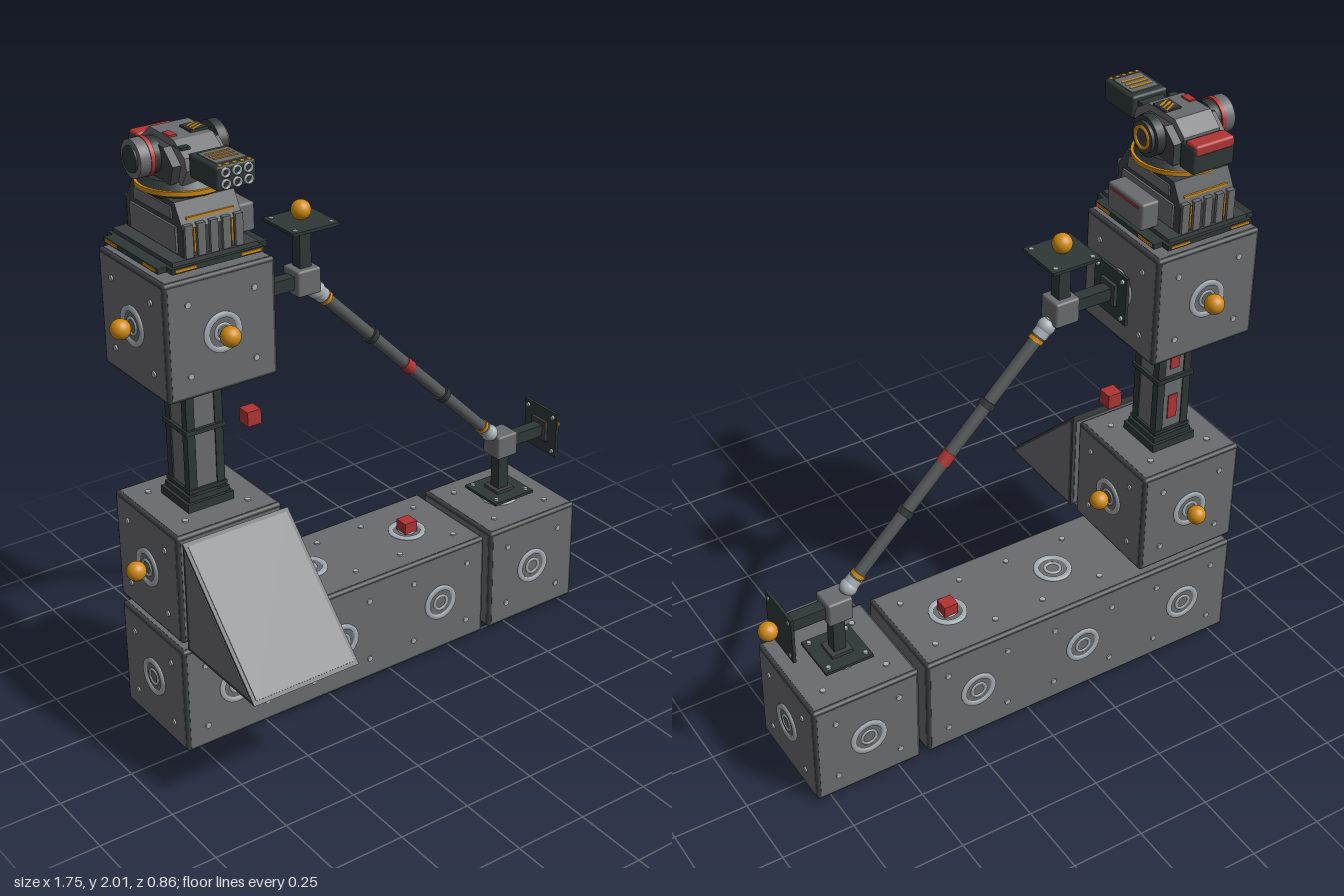
import * as THREE from 'three';
import { RoundedBoxGeometry } from 'three/addons/geometries/RoundedBoxGeometry.js';

const mat = (name, color) => Object.assign(new THREE.MeshStandardMaterial({ color }), { name });
const M = {
  panel: mat('panel grey', 0x6a6b6e), edge: mat('edge grey', 0x3d4042), dark: mat('dark steel', 0x2f3737),
  mid: mat('tube grey', 0x55585a), light: mat('light steel', 0xa8b0b6), gold: mat('amber', 0xcf8a12),
  red: mat('red', 0xb03434), green: mat('green', 0x10b045),
};
const CELL = 0.409, SIZE = 0.378, TX = -0.615, BX = 0.61, Z = -0.167;
const UP = new THREE.Vector3(0, 1, 0);
const AXES = [[1, 0, 0], [-1, 0, 0], [0, 1, 0], [0, -1, 0], [0, 0, 1], [0, 0, -1]];

function add(parent, name, geo, material, x = 0, y = 0, z = 0) {
  const m = new THREE.Mesh(geo, material);
  m.name = name;
  m.position.set(x, y, z);
  parent.add(m);
  return m;
}
function group(parent, name, x = 0, y = 0, z = 0) {
  const g = new THREE.Group();
  g.name = name;
  g.position.set(x, y, z);
  parent.add(g);
  return g;
}
const box = (w, h, d) => new THREE.BoxGeometry(w, h, d);
const cyl = (r, h, n = 20, r2 = r) => new THREE.CylinderGeometry(r2, r, h, n);
const aim = (obj, dir) => obj.quaternion.setFromUnitVectors(UP, new THREE.Vector3(...dir).normalize());
const ring = (ro, ri, h, n = 28) => new THREE.LatheGeometry(
  [[ro, 0], [ro, h], [ri, h], [ri, 0]].map(p => new THREE.Vector2(...p)), n);
// Outline in (z, y) extruded across x
function profile(pts, width) {
  const s = new THREE.Shape(pts.map(p => new THREE.Vector2(...p)));
  return new THREE.ExtrudeGeometry(s, { depth: width, bevelEnabled: false })
    .translate(0, 0, -width / 2).rotateY(-Math.PI / 2);
}

// Docking ring and four bolts on one cell face
function faceFittings(parent, pos, dir) {
  const f = group(parent, 'faceFittings', ...pos);
  aim(f, dir);
  add(f, 'dockRing', ring(0.064, 0.047, 0.008), M.light);
  add(f, 'dockDisc', cyl(0.047, 0.004), M.panel, 0, 0.002, 0);
  add(f, 'dockHub', ring(0.03, 0.021, 0.007), M.light);
  for (const a of [-1, 1]) for (const b of [-1, 1])
    add(f, 'bolt', cyl(0.01, 0.006, 10), M.light, a * 0.113, 0.003, b * 0.113);
}

// Block of n cubic cells along x
function block(parent, name, x, y, n = 1) {
  const g = group(parent, name, x, y, Z), w = SIZE + (n - 1) * CELL, t = 0.024, e = 0.002;
  add(g, 'edgeFrame', new RoundedBoxGeometry(w, SIZE, SIZE, 1, 0.009), M.edge);
  add(g, 'sidePanels', box(w + e, SIZE - t, SIZE - t), M.panel);
  add(g, 'topPanels', box(w - t, SIZE + e, SIZE - t), M.panel);
  add(g, 'frontPanels', box(w - t, SIZE - t, SIZE + e), M.panel);
  for (const d of AXES) for (let i = 0; i < n; i++) {
    if (d[0] && i) continue;
    const cx = d[0] ? d[0] * w / 2 : (i - (n - 1) / 2) * CELL;
    faceFittings(g, [cx, d[1] * SIZE / 2, d[2] * SIZE / 2], d);
  }
}

// T bracket: junction cube with two arms ending in square plates
function bracket(parent, name, x, y, arms) {
  const g = group(parent, name, x, y, Z);
  add(g, 'junction', new RoundedBoxGeometry(0.086, 0.086, 0.086, 1, 0.007), M.panel);
  for (const d of arms) {
    const a = group(g, 'arm');
    aim(a, d);
    add(a, 'post', box(0.042, 0.15, 0.042), M.dark, 0, 0.113, 0);
    add(a, 'plate', box(0.17, 0.01, 0.17), M.dark, 0, 0.188, 0);
    add(a, 'collar', box(0.075, 0.012, 0.075), M.edge, 0, 0.178, 0);
    for (const i of [-1, 1]) for (const j of [-1, 1])
      add(a, 'plateBolt', cyl(0.008, 0.02, 8), M.light, i * 0.066, 0.186, j * 0.066);
  }
}

function wedge(parent) {
  const g = group(parent, 'wedge', TX, 0, 0);
  const tri = k => [[0.055 + k, 0.418 + k], [0.43 - 2.4 * k, 0.418 + k], [0.055 + k, 0.795 - 2.4 * k]];
  add(g, 'wedgeFrame', profile(tri(0), SIZE), M.edge);
  add(g, 'wedgeSides', profile(tri(0.01), SIZE + 0.004), M.panel);
  const slope = add(g, 'wedgeSlope', box(SIZE - 0.024, 0.005, 0.505), M.panel, 0, 0.6065, 0.2425);
  slope.rotation.x = Math.PI / 4;
  add(g, 'wedgeBottom', box(SIZE - 0.024, 0.004, 0.345), M.panel, 0, 0.418, 0.235);
  add(g, 'wedgeBack', box(SIZE - 0.024, 0.345, 0.004), M.panel, 0, 0.598, 0.055);
}

function pillar(parent) {
  const g = group(parent, 'pillar', TX, 0, Z);
  add(g, 'core', box(0.075, 0.44, 0.12), M.panel, 0, 1.018, 0);
  add(g, 'crossCore', box(0.12, 0.44, 0.07), M.panel, 0, 1.018, 0);
  for (const i of [-1, 1]) for (const j of [-1, 1])
    add(g, 'cornerRail', box(0.028, 0.44, 0.028), M.dark, i * 0.05, 1.018, j * 0.05);
  for (const [y, w, h] of [[0.812, 0.165, 0.028], [0.835, 0.145, 0.02], [0.858, 0.137, 0.012], [1.06, 0.142, 0.016],
    [1.205, 0.14, 0.016], [1.227, 0.16, 0.03]])
    add(g, 'band', box(w, h, w), M.dark, 0, y, 0);
  for (const y of [0.945, 1.14]) add(g, 'redMark', box(0.035, 0.09, 0.006), M.red, 0, y, -0.061);
}

function strut(parent) {
  const dx = BX - (-0.206), dy = 0.606 - 1.43, L = Math.hypot(dx, dy);
  const g = group(parent, 'strut', -0.206, 1.43, Z);
  aim(g, [dx, dy, 0]);
  add(g, 'pipe', cyl(0.021, L - 0.1), M.mid, 0, L / 2, 0);
  add(g, 'redBand', cyl(0.0235, 0.042), M.red, 0, L / 2, 0);
  for (const s of [-1, 1]) {
    const at = d => L / 2 + s * (L / 2 - d);
    add(g, 'endBall', new THREE.SphereGeometry(0.03, 20, 14), M.light, 0, at(0.072), 0);
    add(g, 'endSleeve', cyl(0.026, 0.035), M.light, 0, at(0.092), 0);
    add(g, 'amberBand', cyl(0.025, 0.014), M.gold, 0, at(0.122), 0);
    add(g, 'darkBand', cyl(0.028, 0.022), M.dark, 0, at(0.37), 0);
  }
}

function turretBase(parent) {
  const g = group(parent, 'turretBase', TX, 0, Z);
  // Mounting plate with clipped corners
  const h = 0.185, c = 0.03;
  add(g, 'basePlate', profile([[-h, 1.643], [h, 1.643], [h, 1.66], [-h, 1.66]], 2 * (h - c)), M.dark);
  add(g, 'basePlateWings', box(2 * h, 0.017, 2 * (h - c)), M.dark, 0, 1.6515, 0);
  add(g, 'baseStep', box(0.29, 0.014, 0.345), M.edge, 0, 1.667, 0);
  for (const s of [-1, 1]) for (const k of [-0.11, 0.11]) {
    add(g, 'amberEdge', box(0.07, 0.009, 0.005), M.gold, k, 1.652, s * 0.186);
    add(g, 'amberEdge', box(0.005, 0.009, 0.07), M.gold, s * 0.186, 1.652, k);
  }
  add(g, 'housing', profile([[-0.16, 1.67], [0.16, 1.67], [0.16, 1.76], [0.12, 1.83], [-0.12, 1.83], [-0.16, 1.76]], 0.2), M.edge);
  // Ribs front and back, panels on the sides
  for (const s of [-1, 1]) {
    for (let i = -2; i <= 2; i++) add(g, 'rib', box(0.026, 0.1, 0.016), M.panel, i * 0.042, 1.722, s * 0.161);
    for (const i of [-1.5, 1.5]) add(g, 'amberRib', box(0.006, 0.075, 0.006), M.gold, i * 0.042, 1.722, s * 0.162);
    add(g, 'amberLine', box(0.16, 0.007, 0.008), M.gold, 0, 1.785, s * 0.146);
    add(g, 'sidePanel', box(0.01, 0.08, 0.26), M.panel, s * 0.102, 1.72, 0);
    add(g, 'upperSidePanel', box(0.01, 0.035, 0.21), M.panel, s * 0.1, 1.795, 0);
  }
  add(g, 'sideBox', new RoundedBoxGeometry(0.065, 0.09, 0.18, 1, 0.008), M.panel, 0.155, 1.716, 0);
  add(g, 'sideBoxLink', box(0.04, 0.05, 0.12), M.dark, 0.115, 1.71, 0);
  add(g, 'sideBoxStripe', box(0.004, 0.007, 0.14), M.red, 0.188, 1.745, 0);
  // Turntable
  add(g, 'turntableLower', cyl(0.115, 0.018, 32, 0.132), M.dark, 0, 1.832, 0);
  add(g, 'turntableRing', cyl(0.141, 0.014, 36), M.gold, 0, 1.848, 0);
  add(g, 'turntableUpper', cyl(0.132, 0.02, 32, 0.115), M.dark, 0, 1.865, 0);
}

function turretHead(parent) {
  const g = group(parent, 'turretHead', TX, 0, Z);
  add(g, 'headBody', profile([[-0.12, 1.87], [0.11, 1.87], [0.14, 1.92], [0.13, 1.955], [0.075, 1.995], [-0.06, 2],
    [-0.11, 1.96]], 0.13), M.panel);
  add(g, 'headCheeks', profile([[-0.1, 1.872], [0.09, 1.872], [0.11, 1.93], [0.06, 1.975], [-0.05, 1.98], [-0.1, 1.94]], 0.185), M.edge);
  // Rear pack with red cover
  add(g, 'rearPack', new RoundedBoxGeometry(0.15, 0.085, 0.07, 1, 0.008), M.dark, 0, 1.91, -0.14);
  add(g, 'rearCover', new RoundedBoxGeometry(0.14, 0.035, 0.055, 1, 0.008), M.red, 0, 1.945, -0.15);
  add(g, 'redTab', box(0.025, 0.02, 0.04), M.red, -0.052, 1.992, 0.03);
  // Side drums
  const drum = (name, r, w, material, x) => aim(add(g, name, cyl(r, w, 24), material, x, 1.937, -0.005), [1, 0, 0]);
  drum('leftDrum', 0.058, 0.035, M.panel, -0.143);
  drum('leftDrumBand', 0.06, 0.014, M.red, -0.12);
  drum('leftDrumInner', 0.054, 0.03, M.dark, -0.1);
  drum('leftDrumCap', 0.04, 0.01, M.dark, -0.161);
  drum('rightDisc', 0.064, 0.03, M.dark, 0.113);
  drum('rightDiscCap', 0.05, 0.016, M.edge, 0.131);
  aim(add(g, 'amberHub', ring(0.038, 0.028, 0.006), M.gold, 0.138, 1.937, -0.005), [1, 0, 0]);
  // Top hatch with striped vent
  add(g, 'topVent', box(0.06, 0.008, 0.06), M.dark, 0.035, 2, 0.02);
  for (let i = -1; i <= 1; i++) {
    const s = add(g, 'ventStripe', box(0.05, 0.006, 0.007), M.gold, 0.035, 2.002, 0.02 + i * 0.016);
    s.rotation.y = 0.5;
  }
  add(g, 'topSlot', box(0.03, 0.008, 0.05), M.dark, -0.05, 1.978, 0.09);
  // Launcher
  add(g, 'launcherNeck', box(0.09, 0.055, 0.1), M.dark, 0, 1.935, 0.15);
  add(g, 'launcher', new RoundedBoxGeometry(0.13, 0.072, 0.15, 1, 0.008), M.dark, 0, 1.943, 0.225);
  add(g, 'launcherTop', box(0.1, 0.008, 0.1), M.panel, 0, 1.978, 0.225);
  for (let i = 0; i < 3; i++) {
    add(g, 'launcherStripe', box(0.08, 0.005, 0.008), M.gold, 0, 1.981, 0.2 + i * 0.022);
    for (const y of [1.926, 1.96])
      aim(add(g, 'tube', ring(0.015, 0.009, 0.006, 14), M.light, (i - 1) * 0.037, y, 0.3), [0, 0, 1]);
  }
  for (let i = -2; i <= 2; i++) add(g, 'hazardMark', box(0.012, 0.006, 0.012), M.gold, i * 0.024, 1.977, 0.29);
}

export function createModel() {
  const root = new THREE.Group();
  root.name = 'modularTower';
  block(root, 'longBeam', -0.206, 0.197, 3);
  block(root, 'endCube', BX, 0.197);
  block(root, 'lowerCube', TX, 0.606);
  block(root, 'upperCube', TX, 1.43);
  wedge(root);
  pillar(root);
  bracket(root, 'upperBracket', -0.206, 1.43, [[-1, 0, 0], [0, 1, 0]]);
  bracket(root, 'lowerBracket', BX, 0.606, [[1, 0, 0], [0, -1, 0]]);
  strut(root);
  turretBase(root);
  turretHead(root);
  // Green couplers between modules
  for (const [x, y, z, d] of [[0.406, 0.197, Z, [1, 0, 0]], [TX, 0.402, Z, UP.toArray()], [BX, 0.402, Z, UP.toArray()],
    [-0.41, 1.43, Z, [1, 0, 0]], [TX, 1.63, Z, UP.toArray()], [TX, 0.606, 0.038, [0, 0, 1]]])
    aim(add(root, 'coupler', cyl(0.031, 0.034), M.green, x, y, z), d);
  // Amber marker balls
  for (const [x, y, z] of [[-0.847, 1.43, Z], [TX, 1.43, 0.067], [TX, 1.43, -0.398], [-0.847, 0.606, Z],
    [-0.386, 0.606, Z], [TX, 0.606, -0.398], [-0.206, 1.657, Z], [0.842, 0.606, Z]])
    add(root, 'markerBall', new THREE.SphereGeometry(0.032, 24, 16), M.gold, x, y, z);
  // Red marker cubes
  for (const [x, y] of [[-0.412, 1.018], [0.203, 0.406]]) add(root, 'markerCube', box(0.05, 0.05, 0.05), M.red, x, y, Z);
  return root;
}
